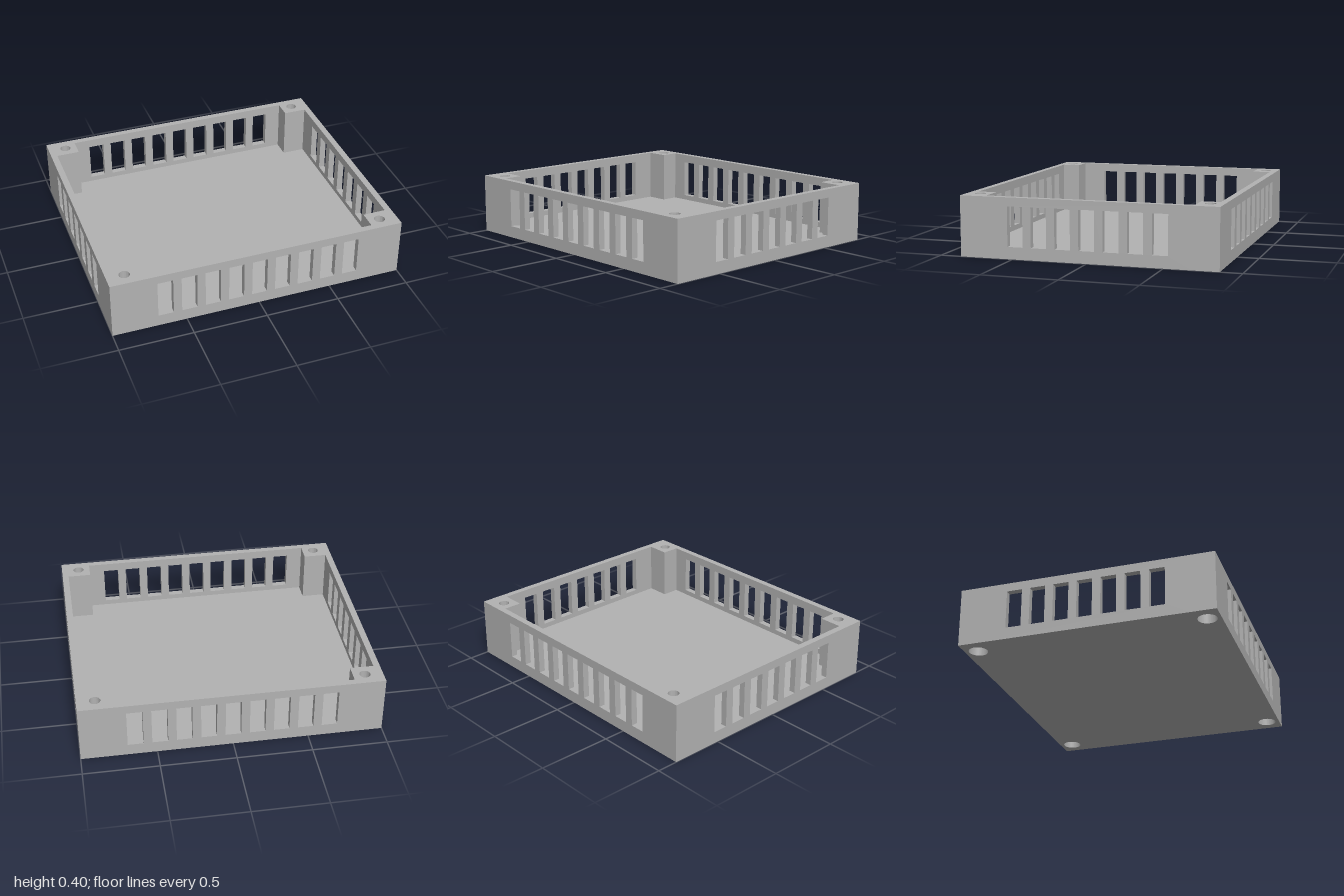
import * as THREE from 'three';
import { toCreasedNormals } from 'three/addons/utils/BufferGeometryUtils.js';

const HX = 1, HZ = 0.857, HEIGHT = 0.4;   // outer half sizes and height
const WALL = 0.043, FLOOR = 0.045;
const POST_X = 0.8, POST_Z = 0.69;        // inner edges of the corner posts
const HOLE_X = 0.88, HOLE_Z = 0.768;

function rect(x0, y0, x1, y1, Target = THREE.Shape) {
  return new Target([
    new THREE.Vector2(x0, y0), new THREE.Vector2(x1, y0),
    new THREE.Vector2(x1, y1), new THREE.Vector2(x0, y1),
  ]);
}

function extrude(shape, depth) {
  const geo = new THREE.ExtrudeGeometry(shape, { depth, bevelEnabled: false, curveSegments: 32 });
  return toCreasedNormals(geo, Math.PI / 6);
}

// Upright slab standing on a plan outline, from y0 to y1
function slab(shape, y0, y1) {
  return extrude(shape, y1 - y0).rotateX(-Math.PI / 2).translate(0, y0, 0);
}

// Wall with a centred row of vent slots; outer face at z = distance
function ventWall(halfLength, slots, distance) {
  const shape = rect(-halfLength, 0, halfLength, HEIGHT);
  for (let i = 0; i < slots; i++) {
    const x = (i - (slots - 1) / 2) * 0.16;
    shape.holes.push(rect(x - 0.052, 0.08, x + 0.052, 0.342, THREE.Path));
  }
  return extrude(shape, WALL).translate(0, 0, distance - WALL);
}

// Corner block with a round screw hole
function postSection(sx, sz, radius, y0, y1) {
  const xs = [sx * POST_X, sx * HX].sort((a, b) => a - b);
  const ys = [sz * POST_Z, sz * HZ].sort((a, b) => a - b);
  const shape = rect(xs[0], ys[0], xs[1], ys[1]);
  shape.holes.push(new THREE.Path().absarc(sx * HOLE_X, sz * HOLE_Z, radius, 0, Math.PI * 2, true));
  return slab(shape, y0, y1);
}

export function createModel() {
  const model = new THREE.Group();
  model.name = 'ventedTray';
  const grey = new THREE.MeshStandardMaterial({ color: 0xb2b2b2 });
  grey.name = 'grey';

  const add = (name, geometry, parent = model) => {
    const mesh = new THREE.Mesh(geometry, grey);
    mesh.name = name;
    parent.add(mesh);
    return mesh;
  };

  // Floor plate, notched around the corner posts
  const ix = HX - WALL, iz = HZ - WALL;
  const outline = [
    [POST_X, -iz], [POST_X, -POST_Z], [ix, -POST_Z], [ix, POST_Z], [POST_X, POST_Z], [POST_X, iz],
    [-POST_X, iz], [-POST_X, POST_Z], [-ix, POST_Z], [-ix, -POST_Z], [-POST_X, -POST_Z], [-POST_X, -iz],
  ].map(([x, y]) => new THREE.Vector2(x, y));
  add('floor', slab(new THREE.Shape(outline), 0, FLOOR));

  // Slotted walls
  add('frontWall', ventWall(POST_X, 9, HZ));
  add('backWall', ventWall(POST_X, 9, HZ)).rotation.y = Math.PI;
  add('leftWall', ventWall(POST_Z, 7, HX)).rotation.y = Math.PI / 2;
  add('rightWall', ventWall(POST_Z, 7, HX)).rotation.y = -Math.PI / 2;

  // Corner posts: wide screw-head recess below, narrow hole above
  for (const sx of [-1, 1]) {
    for (const sz of [-1, 1]) {
      const post = new THREE.Group();
      post.name = 'cornerPost';
      add('recessedBase', postSection(sx, sz, 0.063, 0, 0.12), post);
      add('drilledColumn', postSection(sx, sz, 0.036, 0.12, HEIGHT), post);
      model.add(post);
    }
  }
  return model;
}
